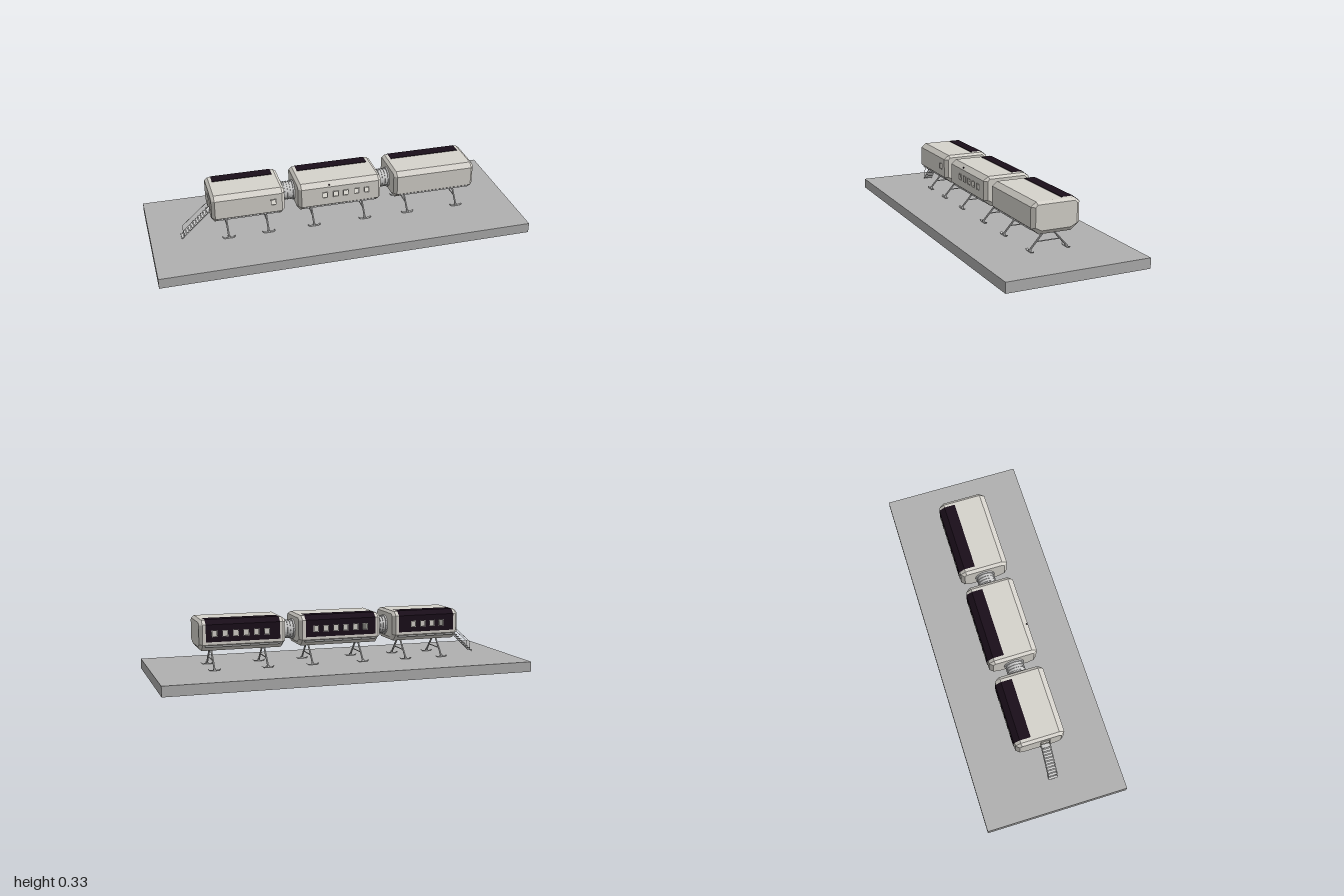
import * as THREE from 'three';

const paint = (color) => new THREE.MeshStandardMaterial({ color, side: THREE.DoubleSide, flatShading: true });
const hullMat = paint(0xd6d3cc), panelMat = paint(0x1a0e1a), metalMat = paint(0xcccccc), slabMat = paint(0xb0b0b0);
const WIN_Y = 0.256, WIN_W = 0.03, WIN_H = 0.034;

function add(parent, name, geometry, material, x = 0, y = 0, z = 0) {
  const mesh = new THREE.Mesh(geometry, material);
  mesh.name = name;
  mesh.position.set(x, y, z);
  parent.add(mesh);
  return mesh;
}

const box = (parent, name, mat, w, h, d, x, y, z) => add(parent, name, new THREE.BoxGeometry(w, h, d), mat, x, y, z);

// round bar between two points
function bar(parent, name, a, b, r, mat = metalMat) {
  const from = new THREE.Vector3(...a), to = new THREE.Vector3(...b);
  const dir = to.clone().sub(from);
  const mesh = add(parent, name, new THREE.CylinderGeometry(r, r, dir.length(), 8), mat);
  mesh.position.copy(from).add(to).multiplyScalar(0.5);
  mesh.quaternion.setFromUnitVectors(new THREE.Vector3(0, 1, 0), dir.normalize());
}

const corners = (x0, x1, y0, y1) => [[x0, y0], [x1, y0], [x1, y1], [x0, y1]].map((p) => new THREE.Vector2(...p));

// flat wall with rectangular openings
function wall(x0, x1, y0, y1, windows) {
  const shape = new THREE.Shape(corners(x0, x1, y0, y1));
  for (const x of windows) {
    shape.holes.push(new THREE.Path(
      corners(x - WIN_W / 2, x + WIN_W / 2, WIN_Y - WIN_H / 2, WIN_Y + WIN_H / 2).reverse()));
  }
  return new THREE.ShapeGeometry(shape);
}

function quads(list) {
  const pos = [];
  for (const [a, b, c, d] of list) pos.push(...a, ...b, ...c, ...a, ...c, ...d);
  const geometry = new THREE.BufferGeometry();
  geometry.setAttribute('position', new THREE.Float32BufferAttribute(pos, 3));
  geometry.computeVertexNormals();
  return geometry;
}

// half cross-sections as [z, y]: full body and the smaller end cap
const mirror = (half) => [...half, ...half.map(([z, y]) => [-z, y]).reverse()];
const BODY = mirror([[0.103, 0.324], [0.131, 0.302], [0.131, 0.198], [0.087, 0.162]]);
const CAP = mirror([[0.1, 0.312], [0.112, 0.3], [0.112, 0.2], [0.079, 0.183]]);

function windowFrames(parent, windows, z) {
  for (const x of windows) {
    const s = new THREE.Shape(corners(-WIN_W / 2, WIN_W / 2, -WIN_H / 2, WIN_H / 2));
    s.holes.push(new THREE.Path(corners(-WIN_W / 2 + 0.003, WIN_W / 2 - 0.003, -WIN_H / 2 + 0.003, WIN_H / 2 - 0.003).reverse()));
    add(parent, 'windowFrame', new THREE.ExtrudeGeometry(s, { depth: 0.008, bevelEnabled: false }), hullMat, x, WIN_Y, z - 0.004);
  }
}

function createCabin({ x0, x1, front, back, door }) {
  const cabin = new THREE.Group();
  cabin.name = 'cabin';
  const c = 0.016;
  const rings = [[x0, CAP], [x0 + c, BODY], [x1 - c, BODY], [x1, CAP]]
    .map(([x, section]) => section.map(([z, y]) => [x, y, z]));
  const faces = [];
  for (let r = 0; r < 3; r++) {
    for (let i = 0; i < 8; i++) {
      if (r === 1 && (i === 1 || i === 5)) continue; // the side walls have openings
      const j = (i + 1) % 8;
      faces.push([rings[r][i], rings[r][j], rings[r + 1][j], rings[r + 1][i]]);
    }
  }
  add(cabin, 'hull', quads(faces), hullMat);
  add(cabin, 'frontWall', wall(x0 + c, x1 - c, 0.198, 0.302, front), hullMat, 0, 0, 0.131);
  add(cabin, 'backWall', wall(x0 + c, x1 - c, 0.198, 0.302, back), hullMat, 0, 0, -0.131);
  windowFrames(cabin, front, 0.131);
  windowFrames(cabin, back, -0.133);

  // end caps, one with a doorway
  for (const x of [x0, x1]) {
    const shape = new THREE.Shape(CAP.map(([z, y]) => new THREE.Vector2(-z, y)));
    if (door && x === x0) shape.holes.push(new THREE.Path(corners(-0.048, -0.004, 0.203, 0.283)));
    add(cabin, 'endCap', new THREE.ShapeGeometry(shape), hullMat, x).rotation.y = Math.PI / 2;
  }

  // dark panel wrapping from the roof down the back wall
  const p0 = x0 + 0.032, p1 = x1 - 0.032;
  const path = [[-0.045, 0.324], [-0.045, 0.327], [-0.104, 0.327], [-0.135, 0.303]];
  add(cabin, 'solarPanel', quads(path.slice(1).map(([z, y], i) => {
    const [pz, py] = path[i];
    return [[p0, py, pz], [p1, py, pz], [p1, y, z], [p0, y, z]];
  })), panelMat);
  add(cabin, 'solarPanelWall', wall(p0, p1, 0.213, 0.303, back), panelMat, 0, 0, -0.135);

  // small rails under the side walls
  for (const s of [1, -1]) {
    box(cabin, 'sideRail', metalMat, x1 - x0 - 0.06, 0.01, 0.009, (x0 + x1) / 2, 0.19, s * 0.12);
  }
  return cabin;
}

// A-frame support with a curved skid at each foot
function createSupport(x) {
  const support = new THREE.Group();
  support.name = 'support';
  support.position.x = x;
  box(support, 'topPlate', metalMat, 0.016, 0.008, 0.058, 0, 0.158, 0);
  bar(support, 'crossBar', [0, 0.104, -0.06], [0, 0.104, 0.06], 0.003);
  const outline = [[-0.034, 0.065], [-0.024, 0.058], [0.024, 0.058], [0.034, 0.065],
    [0.032, 0.067], [0.023, 0.061], [-0.023, 0.061], [-0.032, 0.067]];
  const skid = new THREE.ExtrudeGeometry(new THREE.Shape(outline.map((p) => new THREE.Vector2(...p))),
    { depth: 0.012, bevelEnabled: false });
  for (const s of [1, -1]) {
    bar(support, 'leg', [0, 0.157, s * 0.019], [0, 0.066, s * 0.1], 0.005);
    box(support, 'foot', metalMat, 0.012, 0.01, 0.012, 0, 0.064, s * 0.1);
    add(support, 'skid', skid, metalMat, 0, 0, s * 0.1 - 0.006);
  }
  return support;
}

// round passage with raised ribs
function createPassage(x0, x1) {
  const passage = new THREE.Group();
  passage.name = 'passage';
  const ring = (name, r, len, x) => {
    add(passage, name, new THREE.CylinderGeometry(r, r, len, 32), metalMat, x, 0.242, 0).rotation.z = Math.PI / 2;
  };
  ring('passageTube', 0.046, x1 - x0 + 0.01, (x0 + x1) / 2);
  for (let i = 0; i < 5; i++) {
    ring('passageRib', i % 4 ? 0.05 : 0.054, 0.008, x0 + 0.006 + (x1 - x0 - 0.012) * i / 4);
  }
  return passage;
}

function createStairs() {
  const stairs = new THREE.Group();
  stairs.name = 'stairs';
  const z = 0.027, n = 11;
  for (let i = 0; i < n; i++) {
    const t = i / (n - 1);
    box(stairs, 'tread', metalMat, 0.013, 0.003, 0.048, -0.832 + 0.14 * t, 0.066 + 0.134 * t, z);
  }
  box(stairs, 'landing', metalMat, 0.02, 0.004, 0.054, -0.686, 0.202, z);
  for (const s of [1, -1]) {
    const side = z + s * 0.024;
    bar(stairs, 'stringer', [-0.835, 0.06, side], [-0.682, 0.204, side], 0.0015);
    bar(stairs, 'handrail', [-0.824, 0.113, side], [-0.682, 0.24, side], 0.0012);
    bar(stairs, 'railPost', [-0.824, 0.072, side], [-0.824, 0.113, side], 0.0012);
    box(stairs, 'doorJamb', hullMat, 0.008, 0.084, 0.004, -0.68, 0.243, z - 0.001 + s * 0.024);
  }
  box(stairs, 'doorLintel', hullMat, 0.008, 0.004, 0.052, -0.68, 0.285, z - 0.001);
  return stairs;
}

export function createModel() {
  const model = new THREE.Group();
  model.name = 'raisedStation';
  box(model, 'groundSlab', slabMat, 2, 0.055, 0.768, 0, 0.0275, 0);

  const row = (center) => [-2.5, -1.5, -0.5, 0.5, 1.5, 2.5].map((k) => center + k * 0.055);
  const cabins = [
    { x0: -0.68, x1: -0.293, front: [-0.355], back: [-0.575, -0.52, -0.465, -0.41], door: true },
    { x0: -0.22, x1: 0.235, front: [-0.077, -0.018, 0.037, 0.096, 0.153], back: row(0.0075) },
    { x0: 0.31, x1: 0.765, front: [], back: row(0.55) },
  ];
  for (const spec of cabins) model.add(createCabin(spec));
  model.add(createPassage(-0.293, -0.22), createPassage(0.235, 0.31));
  for (const x of [-0.595, -0.38, -0.13, 0.155, 0.4, 0.685]) model.add(createSupport(x));
  model.add(createStairs());
  box(model, 'lamp', panelMat, 0.006, 0.006, 0.006, -0.053, 0.311, 0.123);
  return model;
}
